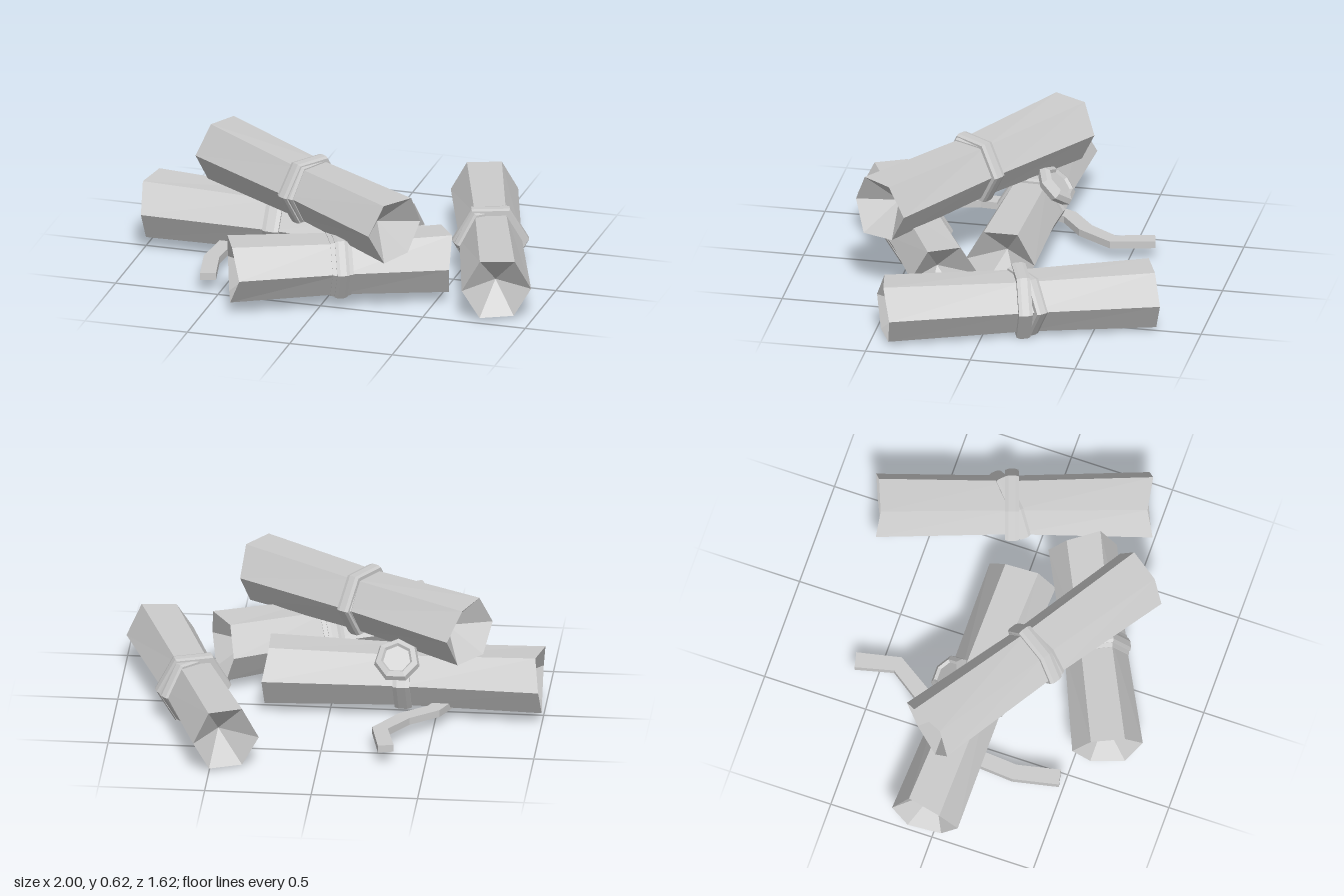
import * as THREE from 'three';

const material = new THREE.MeshStandardMaterial({ color: 0xcccccc, flatShading: true, side: THREE.DoubleSide });
const RADIUS = 0.162;

function part(name, geometry) {
  const mesh = new THREE.Mesh(geometry, material);
  mesh.name = name;
  return mesh;
}

// Six-sided turned form lying along z, with a flat side on top
function hexLathe(profile) {
  const points = profile.map(([r, z]) => new THREE.Vector2(r, z));
  return new THREE.LatheGeometry(points, 6).rotateY(Math.PI / 6).rotateX(Math.PI / 2);
}

// Rolled sheet: pinched at the tie, hollow and slightly ragged at both ends
function rollGeometry(length, tie, seed) {
  const h = length / 2;
  const geometry = hexLathe([
    [0, -h + 0.14], [RADIUS, -h], [0.146, tie], [RADIUS, h], [0, h - 0.14],
  ]);
  const p = geometry.attributes.position;
  for (let i = 0; i < p.count; i++) {
    if (Math.abs(p.getZ(i)) < h - 0.01) continue;
    const side = (Math.round(Math.atan2(p.getY(i), p.getX(i)) / (Math.PI / 3)) + 6) % 6;
    const wave = Math.sin(side * 2.4 + seed + Math.sign(p.getZ(i)));
    const grow = 1 + 0.03 * wave;
    p.setXYZ(i, p.getX(i) * grow, p.getY(i) * grow, p.getZ(i) + 0.015 * wave);
  }
  return geometry;
}

// Ribbon band with bevelled edges
function band(name, radius, width, z, tilt = 0) {
  const w = width / 2;
  const mesh = part(name, hexLathe([
    [0.135, -w], [radius - 0.006, -w], [radius, -w * 0.5], [radius, w * 0.5], [radius - 0.006, w], [0.135, w],
  ]));
  mesh.position.z = z;
  mesh.rotation.y = tilt;
  mesh.scale.x = 1 / Math.cos(tilt);
  return mesh;
}

function scroll({ name, from, to, tie, bands, seed }) {
  const a = new THREE.Vector3(...from), b = new THREE.Vector3(...to);
  const length = a.distanceTo(b), z = (tie - 0.5) * length;
  const group = new THREE.Group();
  group.name = name;
  group.add(part('rolledSheet', rollGeometry(length, z, seed)));
  bands.forEach(([radius, width, offset, tilt], i) =>
    group.add(band(i ? 'crossedBand' : 'ribbonBand', radius, width, z + offset, tilt)));
  group.position.copy(a).lerp(b, 0.5);
  group.lookAt(b);
  return group;
}

// Flat ribbon lying on the ground along a path of [x, z] points
function looseRibbon(path, width, thickness) {
  const pts = path.map(([x, z]) => new THREE.Vector2(x, -z));
  const left = [], right = [];
  pts.forEach((p, i) => {
    const before = pts[Math.max(i - 1, 0)], after = pts[Math.min(i + 1, pts.length - 1)];
    const d = after.clone().sub(before).normalize().multiplyScalar(width / 2);
    left.push(new THREE.Vector2(p.x - d.y, p.y + d.x));
    right.unshift(new THREE.Vector2(p.x + d.y, p.y - d.x));
  });
  const shape = new THREE.Shape([...left, ...right]);
  return new THREE.ExtrudeGeometry(shape, { depth: thickness, bevelEnabled: false }).rotateX(-Math.PI / 2);
}

export function createModel() {
  const model = new THREE.Group();
  model.name = 'scrollPile';

  const scrolls = [
    { name: 'sealedScroll', from: [-0.99, 0.21, -0.04], to: [0.29, 0.2, 0], tie: 0.5, seed: 0.5,
      bands: [[0.165, 0.08, 0, 0]] },
    { name: 'frontScroll', from: [-0.39, 0.21, 0.66], to: [0.53, 0.205, 0.22], tie: 0.5, seed: 2,
      bands: [[0.166, 0.06, 0, 0], [0.157, 0.1, 0, 0]] },
    { name: 'topScroll', from: [-0.67, 0.485, -0.14], to: [0.39, 0.46, 0.565], tie: 0.5, seed: 3.4,
      bands: [[0.172, 0.065, 0, 0], [0.16, 0.06, 0.01, 0.12]] },
    { name: 'sideScroll', from: [0.425, 0.165, -0.755], to: [0.845, 0.165, 0.445], tie: 0.49, seed: 5,
      bands: [[0.18, 0.065, 0, 0], [0.165, 0.06, -0.01, 0.42]] },
  ];
  scrolls.forEach((s) => model.add(scroll(s)));

  // Wax seal on the upper back of the sealed scroll
  const seal = part('waxSeal', new THREE.LatheGeometry(
    [[0, -0.03], [0.09, -0.03], [0.11, 0], [0.1, 0.025], [0.075, 0.035], [0.065, 0.022], [0, 0.022]]
      .map(([r, y]) => new THREE.Vector2(r, y)), 7));
  seal.position.set(-0.325, 0.325, -0.14);
  seal.quaternion.setFromUnitVectors(new THREE.Vector3(0, 1, 0), new THREE.Vector3(0, 0.72, -0.69).normalize());
  model.add(seal);

  // Loose ribbon running under the sealed scroll, with a tail on each side
  const ribbon = part('looseRibbon', looseRibbon([
    [-0.315, -0.615], [-0.27, -0.42], [-0.37, -0.27], [-0.5, -0.17], [-0.58, 0], [-0.6, 0.27], [-0.555, 0.48],
  ], 0.075, 0.035));
  ribbon.position.y = 0.068;
  model.add(ribbon);

  return model;
}
